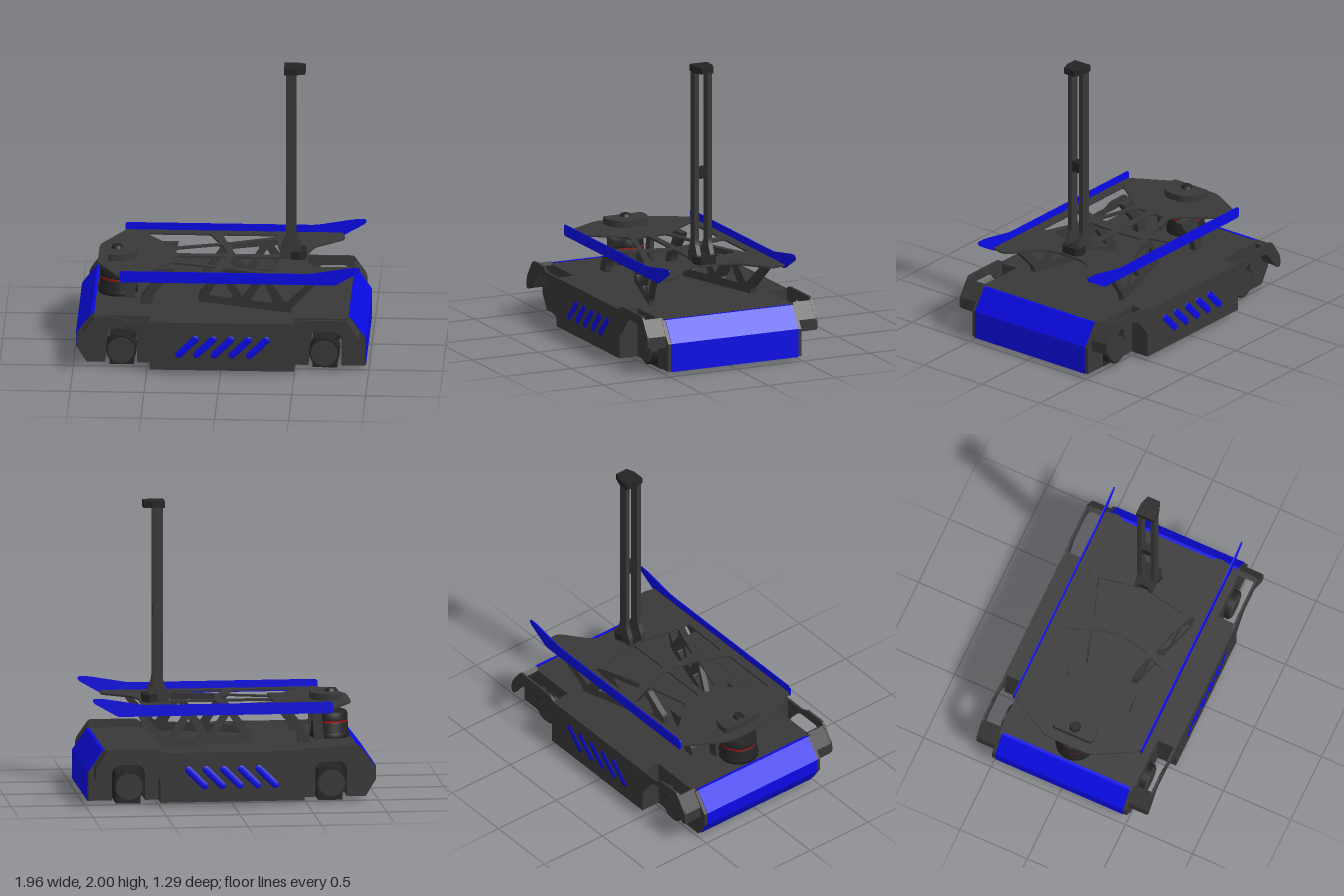
import * as THREE from 'three';

const mat = (color) => new THREE.MeshStandardMaterial({ color });
const dark = mat(0x383838), black = mat(0x242424), blue = mat(0x0a0ae6), red = mat(0xaa1111);

// Trace a closed outline; a third value on a point rounds that corner
function trace(path, pts) {
  const n = pts.length;
  pts.forEach((p, i) => {
    const a = pts[(i + n - 1) % n], b = pts[(i + 1) % n], r = p[2] || 0;
    const toward = (q) => {
      const d = Math.hypot(q[0] - p[0], q[1] - p[1]), k = Math.min(r, d / 2) / d;
      return [p[0] + (q[0] - p[0]) * k, p[1] + (q[1] - p[1]) * k];
    };
    const s = toward(a), e = toward(b);
    if (i === 0) path.moveTo(...s); else path.lineTo(...s);
    if (r) path.quadraticCurveTo(p[0], p[1], ...e);
  });
  path.closePath();
  return path;
}

// Side-profile slab, extruded along z from z0 to z1
function slab(pts, z0, z1, holes = []) {
  const shape = trace(new THREE.Shape(), pts);
  holes.forEach((h) => shape.holes.push(trace(new THREE.Path(), h)));
  const g = new THREE.ExtrudeGeometry(shape, { depth: z1 - z0, bevelEnabled: false, curveSegments: 8 });
  return g.translate(0, 0, z0);
}

// Plan-view plate, extruded upward from y0 to y1
const plate = (pts, y0, y1, holes) => slab(pts, y0, y1, holes).rotateX(-Math.PI / 2);

export function createModel() {
  const model = new THREE.Group();
  const add = (name, geometry, material = dark, parent = model) => {
    const m = new THREE.Mesh(geometry, material);
    m.name = name;
    parent.add(m);
    return m;
  };
  const box = (name, x0, x1, y0, y1, z0, z1, material = dark, parent = model) =>
    add(name, new THREE.BoxGeometry(x1 - x0, y1 - y0, z1 - z0)
      .translate((x0 + x1) / 2, (y0 + y1) / 2, (z0 + z1) / 2), material, parent);

  // Hull with wheel arches
  const hull = [[-0.98, 0.23], [-0.98, 0.14], [-0.91, 0.03], [-0.785, 0.03],
    [-0.785, 0.27, 0.07], [-0.57, 0.27, 0.07], [-0.57, 0.03], [0.59, 0.03],
    [0.59, 0.27, 0.07], [0.815, 0.27, 0.07], [0.815, 0.03], [0.975, 0.03],
    [0.975, 0.22], [0.875, 0.365], [-0.88, 0.365]];
  add('hull', slab(hull, -0.5, 0.5));

  // Blue end bumpers between the cheeks
  add('rearBumper', slab([[-0.88, 0.367], [-0.984, 0.232], [-0.984, 0.138], [-0.914, 0.026],
    [-0.89, 0.026], [-0.95, 0.14], [-0.95, 0.22], [-0.86, 0.367]], -0.475, 0.475), blue);
  add('frontBumper', slab([[0.88, 0.367], [0.979, 0.222], [0.979, 0.026], [0.95, 0.026],
    [0.95, 0.21], [0.86, 0.367]], -0.475, 0.475), blue);

  // Outer side panel with its bent arms
  const arms = [[-0.94, 0.19, 0.02], [-0.91, 0.19, 0.02], [-0.79, 0.335, 0.03], [-0.6, 0.335, 0.04],
    [-0.48, 0.2, 0.04], [-0.48, 0.03], [0.5, 0.03], [0.5, 0.2, 0.04], [0.62, 0.335, 0.04],
    [0.8, 0.335, 0.03], [0.91, 0.19, 0.02], [0.94, 0.19, 0.02], [0.94, 0.27, 0.03],
    [0.85, 0.4, 0.02], [0.53, 0.4, 0.02], [0.48, 0.37, 0.02], [-0.63, 0.37, 0.02],
    [-0.69, 0.4, 0.02], [-0.85, 0.4, 0.02], [-0.94, 0.27, 0.03]];

  for (const s of [1, -1]) {
    const side = new THREE.Group();
    side.name = s > 0 ? 'frontSide' : 'backSide';
    model.add(side);
    const span = (a, b) => (s > 0 ? [a, b] : [-b, -a]);

    add('sidePanel', slab(arms, ...span(0.62, 0.637)), dark, side);
    box('sideBox', -0.48, 0.5, 0.03, 0.368, ...span(0.5, 0.625), dark, side);
    for (const e of [1, -1]) {
      const link = [[0.925, 0.19], [0.938, 0.19], [0.938, 0.27], [0.86, 0.38], [0.83, 0.36]];
      const pts = e > 0 ? link : link.map(([x, y]) => [-x, y]).reverse();
      add('armLink', slab(pts, ...span(0.49, 0.625)), dark, side);
    }

    // Slanted blue vents
    for (let i = 0; i < 5; i++) {
      const g = new THREE.CapsuleGeometry(0.026, 0.155, 6, 14).scale(1, 1, 0.3)
        .rotateZ(-Math.PI / 4).translate(-0.225 + i * 0.12, 0.197, s * 0.635);
      add('vent', g, blue, side);
    }

    // Wheels and their drive housings
    for (const x of [-0.675, 0.7]) {
      box('driveHousing', x - 0.083, x + 0.083, 0, 0.215, ...span(0.09, 0.46), black, side);
      add('wheel', new THREE.CylinderGeometry(0.103, 0.103, 0.13, 32).rotateX(Math.PI / 2)
        .translate(x, 0.128, s * 0.465), black, side);
      add('hub', new THREE.CylinderGeometry(0.09, 0.09, 0.02, 32).rotateX(Math.PI / 2)
        .translate(x, 0.128, s * 0.53), dark, side);
    }

    // Blue deck rail with an upswept end
    add('deckRail', slab([[-0.69, 0.675, 0.02], [-0.69, 0.597, 0.02], [0.77, 0.597, 0.02],
      [0.94, 0.695, 0.02], [0.94, 0.722, 0.01], [0.87, 0.722, 0.03], [0.6, 0.675, 0.04]],
      ...span(0.47, 0.478)), blue, side);

    // Truss running diagonally under the deck
    const truss = slab([[-0.165, 0.36], [-0.165, 0.42, 0.02], [-0.03, 0.6, 0.03], [-0.06, 0.62],
      [0.64, 0.62], [0.62, 0.57, 0.02], [0.47, 0.4, 0.02], [0.47, 0.36]], -0.02, 0.02, [
      [[-0.1, 0.42, 0.02], [0.08, 0.42, 0.02], [-0.01, 0.56, 0.015]],
      [[0.04, 0.585, 0.02], [0.23, 0.585, 0.02], [0.135, 0.44, 0.015]],
      [[0.19, 0.42, 0.02], [0.35, 0.42, 0.02], [0.275, 0.56, 0.015]],
      [[0.32, 0.585, 0.02], [0.575, 0.585, 0.02], [0.43, 0.43, 0.02]]]);
    // Shear in plan so it runs outward toward the front end
    const p = truss.attributes.position;
    for (let i = 0; i < p.count; i++) p.setZ(i, p.getZ(i) + s * (0.235 + 0.31 * p.getX(i)));
    truss.computeVertexNormals();
    add('truss', truss, dark, side);

    // Curved rear deck leg
    add('deckLeg', slab([[-0.56, 0.36], [-0.55, 0.42, 0.03], [-0.44, 0.56, 0.05], [-0.46, 0.62],
      [-0.32, 0.62], [-0.34, 0.58, 0.02], [-0.47, 0.43, 0.04], [-0.48, 0.36]],
      ...span(0.22, 0.27)), dark, side);

    // Strut beside the sensor
    add('sensorStrut', slab([[-0.67, 0.36], [-0.6, 0.36], [-0.58, 0.62], [-0.64, 0.62]],
      ...span(0.12, 0.15)), dark, side);

    // Mast post with flared foot
    add('mastPost', slab([[0.38, 0.63], [0.38, 0.68, 0.02], [0.42, 0.77, 0.03], [0.42, 1.99],
      [0.485, 1.99], [0.485, 0.77, 0.03], [0.525, 0.68, 0.02], [0.525, 0.63]],
      ...span(0.033, 0.065)), dark, side);
  }

  // Upper deck with cut-outs
  const cutouts = [
    [[-0.55, 0.405, 0.03], [-0.11, 0.405, 0.03], [-0.04, 0.235, 0.03], [-0.35, 0.15, 0.05]],
    [[-0.03, 0.405, 0.03], [0.335, 0.405, 0.02], [0.335, 0.37, 0.02], [0.01, 0.245, 0.03]],
    [[-0.33, 0.115, 0.03], [-0.02, 0.21, 0.03], [0.02, 0.025, 0.02], [-0.33, 0.025, 0.03]],
    [[0.045, 0.22, 0.03], [0.335, 0.32, 0.03], [0.385, 0.025, 0.02], [0.06, 0.025, 0.02]]];
  const mirrored = cutouts.map((c) => c.map(([x, z, r]) => [x, -z, r]).reverse());
  add('deck', plate([[-0.85, -0.17, 0.06], [-0.68, -0.472], [0.78, -0.472], [0.81, -0.36, 0.06],
    [0.57, -0.17, 0.1], [0.57, 0.17, 0.1], [0.81, 0.36, 0.06], [0.78, 0.472],
    [-0.68, 0.472], [-0.85, 0.17, 0.06]], 0.614, 0.626, [...cutouts, ...mirrored]));

  // Antenna cap on the deck, with the box hung below it
  const cap = [[-0.78, -0.15, 0.03], [-0.67, -0.15, 0.05], [-0.585, -0.08, 0.06],
    [-0.585, 0.08, 0.06], [-0.67, 0.15, 0.05], [-0.78, 0.15, 0.03]];
  add('antennaCap', plate(cap, 0.62, 0.672));
  add('antennaButton', new THREE.CylinderGeometry(0.032, 0.04, 0.02, 24).translate(-0.725, 0.68, 0), black);
  box('antennaBox', -0.76, -0.61, 0.568, 0.62, -0.05, 0.05, black);

  // Rotating scanner on the hull
  const profile = [[0, 0.36], [0.135, 0.36], [0.135, 0.395], [0.125, 0.4], [0.125, 0.465], [0.115, 0.468],
    [0.115, 0.478], [0.123, 0.482], [0.12, 0.53], [0.108, 0.542], [0, 0.542]];
  add('scanner', new THREE.LatheGeometry(profile.map(([x, y]) => new THREE.Vector2(x, y)), 40)
    .translate(-0.72, 0, 0), black);
  add('scannerRing', new THREE.CylinderGeometry(0.121, 0.121, 0.01, 40).translate(-0.72, 0.473, 0), red);

  // Mast cross-pieces, head and foot
  box('mastBrace', 0.425, 0.48, 1.21, 1.285, -0.05, 0.05, black);
  box('mastTop', 0.42, 0.485, 1.955, 1.995, -0.062, 0.062);
  add('mastHead', plate([[0.405, -0.066], [0.49, -0.066], [0.55, -0.045], [0.55, 0.045],
    [0.49, 0.066], [0.405, 0.066]], 1.955, 2), black);
  add('mastFoot', plate([[0.39, -0.045], [0.51, -0.082], [0.555, -0.055], [0.555, 0.055],
    [0.51, 0.082], [0.39, 0.045]], 0.62, 0.68), black);

  return model;
}
